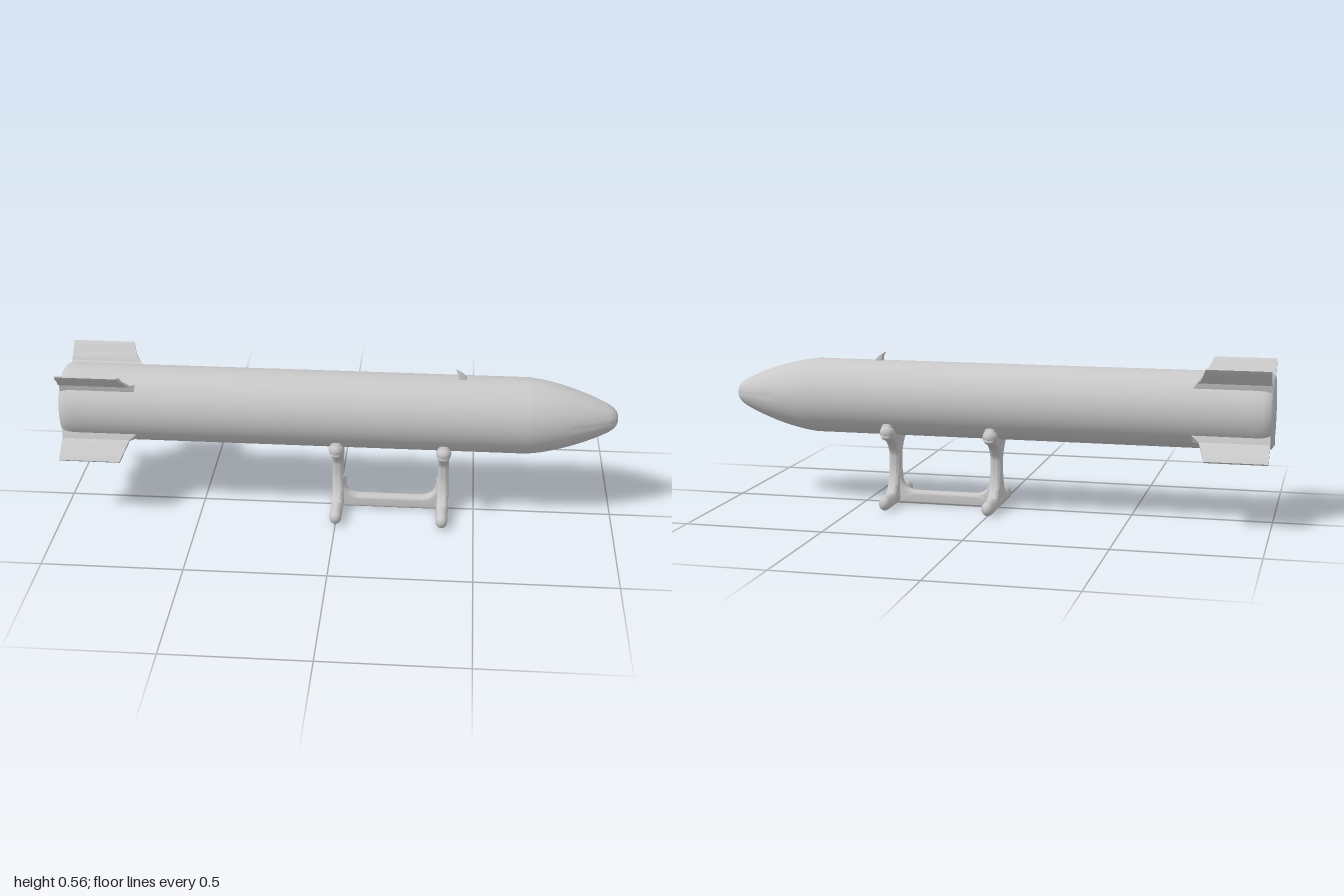
import * as THREE from 'three';
import { toCreasedNormals } from 'three/addons/utils/BufferGeometryUtils.js';

const AXIS_Y = 0.396;
const v2 = (p) => new THREE.Vector2(p[0], p[1]);

export function createModel() {
  const root = new THREE.Group();
  root.name = 'rocketOnStand';
  const grey = new THREE.MeshStandardMaterial({ color: 0xc8c8c8 });
  grey.name = 'light grey';

  const add = (name, geometry, parent = root) => {
    const mesh = new THREE.Mesh(geometry, grey);
    mesh.name = name;
    parent.add(mesh);
    return mesh;
  };

  // Body: cylinder with a softly rounded tail and a blunt ogive nose
  const nose = new THREE.SplineCurve([
    [0.137, 0.68], [0.128, 0.74], [0.108, 0.82], [0.08, 0.9],
    [0.053, 0.96], [0.036, 0.985], [0.018, 0.997], [0, 1],
  ].map(v2)).getPoints(28);
  nose[nose.length - 1].x = 0;
  const profile = [[0, -0.995], [0.122, -0.995], [0.131, -0.988], [0.136, -0.965], [0.137, -0.93]]
    .map(v2).concat(nose);
  const bodyGeometry = new THREE.LatheGeometry(profile, 64);
  bodyGeometry.rotateZ(-Math.PI / 2);
  add('body', toCreasedNormals(bodyGeometry, 0.7)).position.y = AXIS_Y;

  // Tail fins: thin ribbed section run along x, swept at the leading edge
  const half = [[0.125, 0.02], [0.139, 0.012], [0.152, 0.003], [0.168, 0.007],
    [0.19, 0.003], [0.21, 0.007], [0.228, 0.003]];
  const sweep = (r) => (r < 0.155 ? -0.71 - (r - 0.125) * 0.9 : -0.745 - (r - 0.155) * 0.3);
  const makeFin = (angle, tip) => {
    const points = half.map(([r, t]) => [0.125 + (r - 0.125) * (tip - 0.125) / 0.103, t]);
    const outline = points.map(([r, t]) => [r, -t]).concat([...points].reverse());
    const g = new THREE.ExtrudeGeometry(new THREE.Shape(outline.map(v2)),
      { depth: 1, bevelEnabled: false });
    const p = g.attributes.position;
    for (let i = 0; i < p.count; i++) {
      p.setZ(i, p.getZ(i) > 0.5 ? sweep(p.getX(i)) : -0.99);
    }
    const c = Math.cos(angle), s = Math.sin(angle);
    g.applyMatrix4(new THREE.Matrix4().makeBasis(
      new THREE.Vector3(0, s, c), new THREE.Vector3(0, -c, s), new THREE.Vector3(1, 0, 0)));
    return toCreasedNormals(g, 0.5);
  };
  const deg = Math.PI / 180;
  [['upperLeftFin', 46, 0.23], ['upperRightFin', 134, 0.23],
    ['lowerLeftFin', -39, 0.242], ['lowerRightFin', 219, 0.242]]
    .forEach(([name, a, tip]) => add(name, makeFin(a * deg, tip)).position.y = AXIS_Y);

  // Small backswept lug on top of the body
  const lugShape = new THREE.Shape();
  lugShape.moveTo(0.425, 0.52);
  lugShape.lineTo(0.465, 0.52);
  lugShape.quadraticCurveTo(0.45, 0.553, 0.42, 0.563);
  lugShape.quadraticCurveTo(0.436, 0.545, 0.425, 0.52);
  const lug = new THREE.ExtrudeGeometry(lugShape, {
    depth: 0.016, bevelEnabled: true, bevelSize: 0.003, bevelOffset: -0.003,
    bevelThickness: 0.004, bevelSegments: 2, curveSegments: 8,
  });
  lug.translate(0, 0, -0.008);
  add('topLug', toCreasedNormals(lug, 0.6));

  // Stand uprights: flared column with two cradle arms, rounded edges
  const edge = [[0.09, 0.048], [0.07, 0.056], [0.045, 0.082], [0.029, 0.125], [0.027, 0.17],
    [0.031, 0.195], [0.055, 0.228], [0.085, 0.246], [0.118, 0.257]].map(v2);
  const right = new THREE.SplineCurve(edge).getPoints(28)
    .concat([[0.128, 0.265], [0.126, 0.285], [0.112, 0.315]].map(v2));
  const outline = [new THREE.Vector2(0.09, 0.015), ...right, new THREE.Vector2(0, 0.285)];
  const mirrored = [...right].reverse().concat([new THREE.Vector2(0.09, 0.015)])
    .map((p) => new THREE.Vector2(-p.x, p.y));
  const columnGeometry = new THREE.ExtrudeGeometry(new THREE.Shape(outline.concat(mirrored)), {
    depth: 0.012, bevelEnabled: true, bevelSize: 0.013, bevelOffset: -0.013,
    bevelThickness: 0.014, bevelSegments: 5,
  });
  columnGeometry.translate(0, 0, -0.006);
  columnGeometry.rotateY(Math.PI / 2);
  const column = toCreasedNormals(columnGeometry, 0.8);

  const foot = new THREE.CapsuleGeometry(0.026, 0.298, 6, 20);
  foot.rotateX(Math.PI / 2);
  foot.scale(0.85, 1, 0.95);
  const pad = new THREE.SphereGeometry(0.027, 20, 14);

  [['rearSupport', 0], ['frontSupport', 0.385]].forEach(([name, x]) => {
    const support = new THREE.Group();
    support.name = name;
    support.position.x = x;
    root.add(support);
    add('column', column, support);
    add('foot', foot, support).position.y = 0.027;
    for (const side of [1, -1]) {
      add('cradlePad', pad, support).position.set(0, 0.283, side * 0.103);
    }
  });

  // Crossbar with curved corners rising into both uprights
  const bar = new THREE.Shape();
  bar.moveTo(0, 0.006);
  bar.lineTo(0.385, 0.006);
  bar.lineTo(0.385, 0.12);
  bar.lineTo(0.366, 0.12);
  bar.quadraticCurveTo(0.366, 0.046, 0.3, 0.046);
  bar.lineTo(0.085, 0.046);
  bar.quadraticCurveTo(0.019, 0.046, 0.019, 0.12);
  bar.lineTo(0, 0.12);
  bar.closePath();
  const barGeometry = new THREE.ExtrudeGeometry(bar, {
    depth: 0.014, bevelEnabled: true, bevelSize: 0.012, bevelOffset: -0.008,
    bevelThickness: 0.013, bevelSegments: 5, curveSegments: 12,
  });
  barGeometry.translate(0, 0, -0.007);
  add('crossbar', toCreasedNormals(barGeometry, 0.8));

  return root;
}
